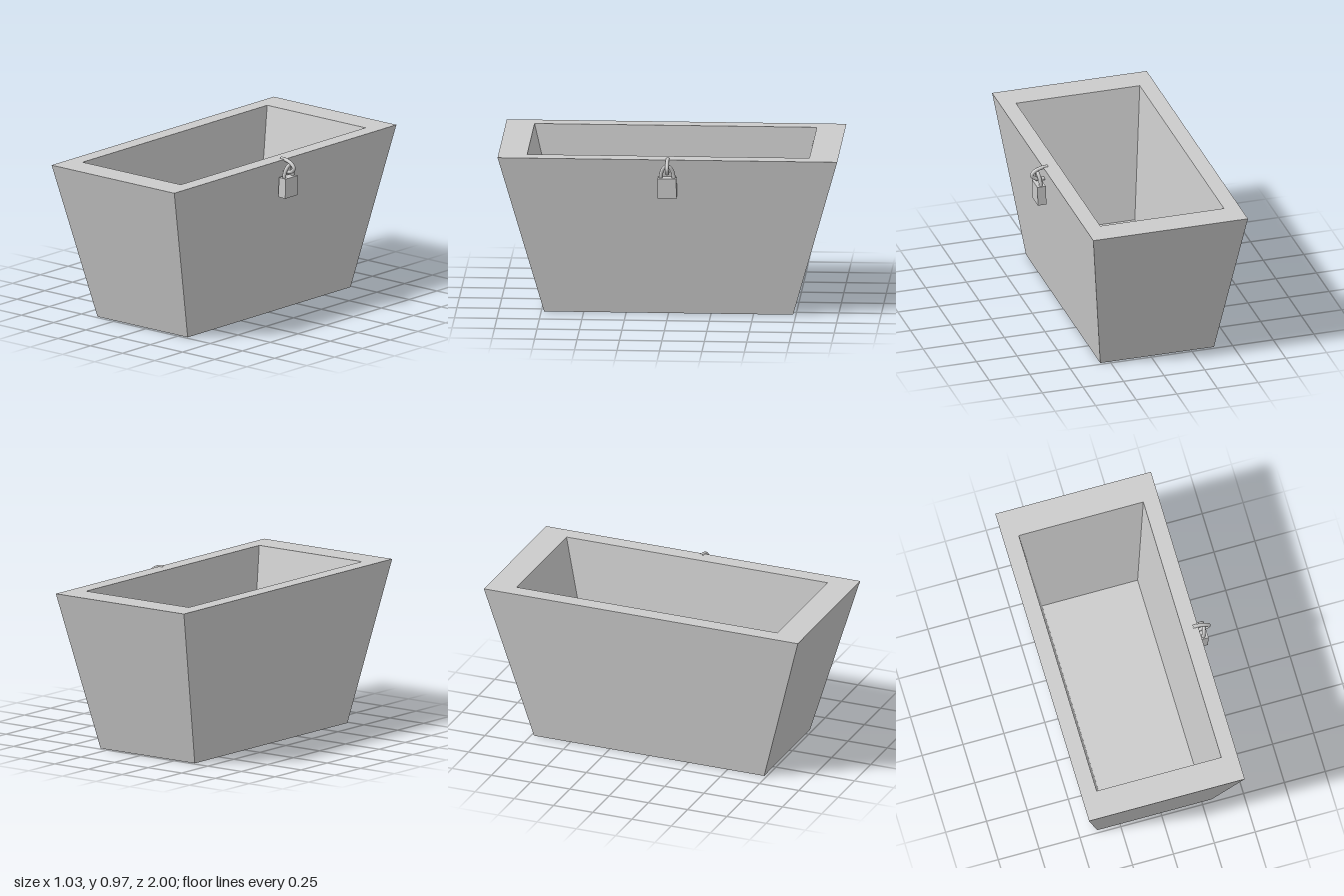
import * as THREE from 'three';

const CX = -0.04; // the bin sits slightly off centre because the lock sticks out
const material = new THREE.MeshStandardMaterial({ color: 0xcccccc });
const flat = new THREE.MeshStandardMaterial({ color: 0xcccccc, flatShading: true });

// Four corners of a rectangle at height y, anticlockwise from above
const ring = (hx, hz, y) => [[-hx, y, hz], [hx, y, hz], [hx, y, -hz], [-hx, y, -hz]];

// Tapered hollow bin: floor, outer walls, rim, inner walls, inner floor
function binGeometry() {
  const rings = [
    ring(0.35, 0.733, 0),
    ring(0.476, 1, 0.957),
    ring(0.381, 0.831, 0.957),
    ring(0.292, 0.643, 0.177),
  ];
  const index = [0, 2, 1, 0, 3, 2, 12, 13, 14, 12, 14, 15];
  for (let r = 0; r < 3; r++) {
    for (let i = 0; i < 4; i++) {
      const a = r * 4 + i, b = r * 4 + (i + 1) % 4;
      index.push(a, b, b + 4, a, b + 4, a + 4);
    }
  }
  const g = new THREE.BufferGeometry();
  g.setAttribute('position', new THREE.Float32BufferAttribute(rings.flat(2), 3));
  g.setIndex(index);
  const out = g.toNonIndexed();
  out.computeVertexNormals();
  return out;
}

function tube(points, radius) {
  const curve = new THREE.CatmullRomCurve3(points.map((p) => new THREE.Vector3(...p)));
  return new THREE.TubeGeometry(curve, 40, radius, 12);
}

export function createModel() {
  const model = new THREE.Group();
  const add = (name, geometry, mat, parent = model) => {
    const mesh = new THREE.Mesh(geometry, mat);
    mesh.name = name;
    parent.add(mesh);
    return mesh;
  };

  add('bin', binGeometry(), flat).position.x = CX;

  // Loop fixed to the side wall, ends buried in the wall
  add('hasp', tube([
    [0.405, 0.956, 0], [0.44, 0.953, 0], [0.48, 0.938, 0], [0.503, 0.912, 0],
    [0.485, 0.889, 0], [0.45, 0.881, 0], [0.405, 0.88, 0],
  ], 0.011), material);

  // Padlock hanging from the loop, tilted a little
  const lock = new THREE.Group();
  lock.name = 'padlock';
  lock.position.set(0.458, 0.795, 0);
  lock.rotation.z = -0.03;
  model.add(lock);
  add('lockBody', new THREE.BoxGeometry(0.052, 0.12, 0.11), flat, lock);
  add('shackle', tube([
    [0, 0.045, 0.038], [0, 0.075, 0.037], [0.003, 0.105, 0.029], [0.007, 0.127, 0.014],
    [0.008, 0.133, 0],
    [0.007, 0.127, -0.014], [0.003, 0.105, -0.029], [0, 0.075, -0.037], [0, 0.045, -0.038],
  ], 0.011), material, lock);

  return model;
}
